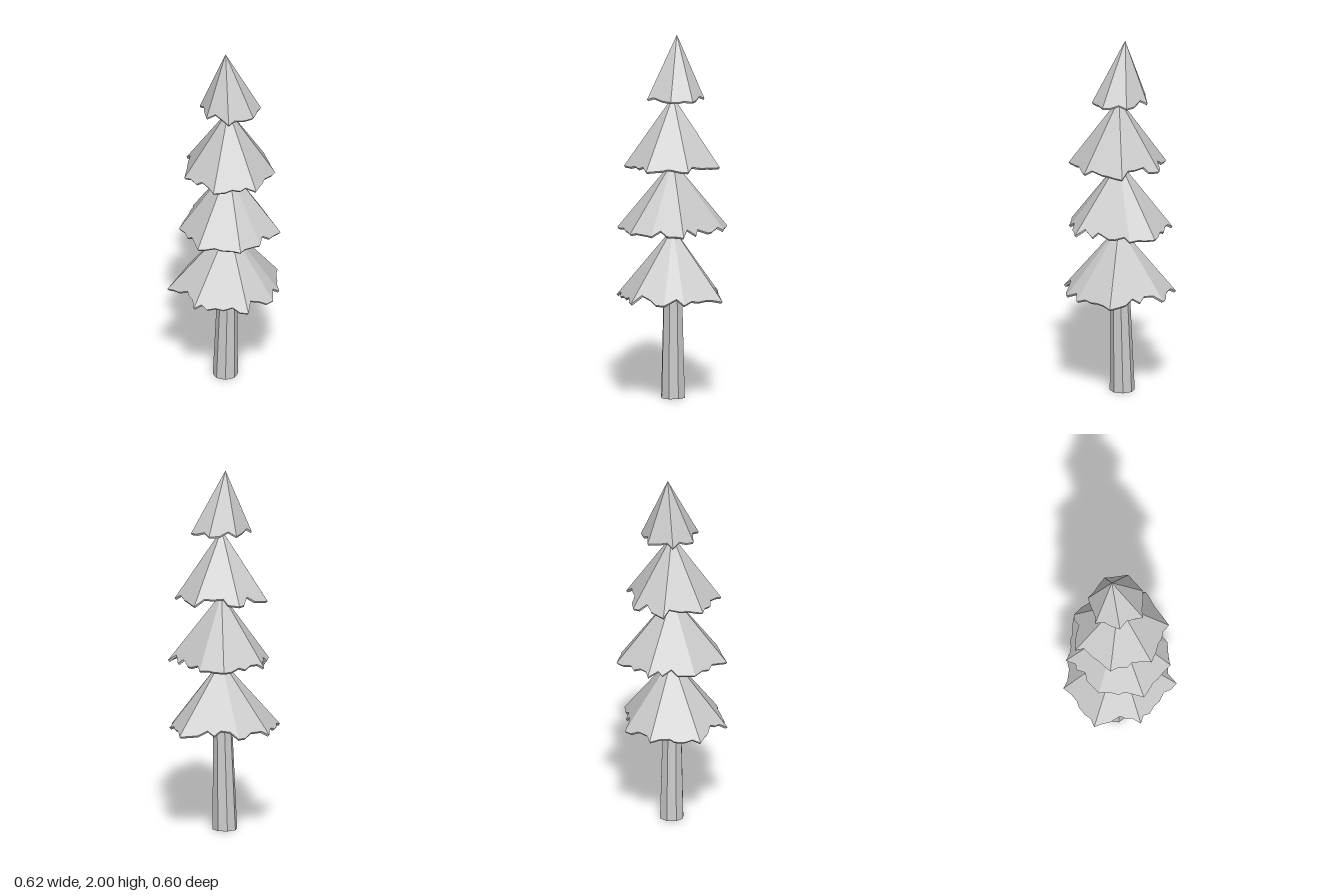
import * as THREE from 'three';

const material = () => new THREE.MeshStandardMaterial({ color: 0xcccccc, flatShading: true });

// Small seeded generator for the ragged rims
function seeded(seed) {
  let s = seed;
  return () => (s = (s * 16807) % 2147483647) / 2147483647;
}

// Each tier: tip, rim height and the ridge corners [x, z], clockwise from above
const TIERS = [
  { name: 'bottomBranches', tip: [0, 0.94, 0.01], rimY: 0.56, corners: [
    [0, -0.3], [0.18, -0.22], [0.31, 0.08], [0.15, 0.25],
    [0.05, 0.3], [-0.14, 0.3], [-0.31, 0.05], [-0.26, -0.2]] },
  { name: 'lowerMiddleBranches', tip: [0, 1.31, 0.01], rimY: 0.935, corners: [
    [0.02, -0.28], [0.25, -0.17], [0.28, -0.03], [0.15, 0.26],
    [-0.03, 0.28], [-0.16, 0.26], [-0.3, 0.07], [-0.21, -0.16]] },
  { name: 'upperMiddleBranches', tip: [0, 1.665, 0.01], rimY: 1.288, corners: [
    [-0.06, -0.25], [0.14, -0.2], [0.27, 0.01], [0.16, 0.21],
    [-0.06, 0.28], [-0.24, 0.13], [-0.23, -0.1]] },
  { name: 'topBranches', tip: [0.011, 2, -0.023], rimY: 1.66, corners: [
    [-0.07, -0.14], [0.08, -0.14], [0.17, -0.02], [0.15, 0.11],
    [0.04, 0.16], [-0.11, 0.12], [-0.14, -0.02]] },
];

// Thin pyramid shell whose flat facets are notched along the rim
function branchTier({ name, tip, rimY, corners }, index) {
  const random = seeded(4711 + 97 * index);
  const apex = new THREE.Vector3(...tip);
  const innerApex = apex.clone().setY(apex.y - 0.03);
  const ridge = corners.map(([x, z]) => new THREE.Vector3(x, rimY, z));

  // Walk each edge; points between the corners are drawn back up the facet
  const outer = [];
  ridge.forEach((corner, i) => {
    const next = ridge[(i + 1) % ridge.length];
    outer.push(corner);
    const steps = Math.max(2, Math.round(corner.distanceTo(next) / 0.045));
    for (let k = 1; k < steps; k++) {
      const along = (k + (random() - 0.5) * 0.7) / steps;
      const notch = 0.13 * random() * random();
      outer.push(corner.clone().lerp(next, along).lerp(apex, notch));
    }
  });
  const inner = outer.map(p => new THREE.Vector3(
    apex.x + (p.x - apex.x) * 0.97, p.y - 0.01, apex.z + (p.z - apex.z) * 0.97));

  const points = [];
  outer.forEach((p, i) => {
    const j = (i + 1) % outer.length;
    points.push(apex, outer[j], p);                  // upper face
    points.push(p, outer[j], inner[j]);              // ragged lip
    points.push(p, inner[j], inner[i]);
    points.push(innerApex, inner[i], inner[j]);      // underside
  });
  const geometry = new THREE.BufferGeometry().setFromPoints(points);
  geometry.computeVertexNormals();
  const mesh = new THREE.Mesh(geometry, material());
  mesh.name = name;
  return mesh;
}

// Eight-sided tapering trunk with a slight lean
function trunk() {
  const profile = [[0, 0], [0.068, 0], [0.054, 0.55], [0.039, 0.9], [0.027, 1.28], [0.016, 1.65], [0, 1.8]];
  const geometry = new THREE.LatheGeometry(profile.map(([r, y]) => new THREE.Vector2(r, y)), 8);
  const pos = geometry.attributes.position;
  for (let i = 0; i < pos.count; i++) {
    const k = Math.min(1, pos.getY(i) / 0.9);
    pos.setX(i, pos.getX(i) - 0.006 * (1 - k));
    pos.setZ(i, pos.getZ(i) - 0.008 + 0.02 * k);
  }
  geometry.computeVertexNormals();
  const mesh = new THREE.Mesh(geometry, material());
  mesh.name = 'trunk';
  return mesh;
}

export function createModel() {
  const tree = new THREE.Group();
  tree.name = 'pineTree';
  tree.add(trunk(), ...TIERS.map(branchTier));
  return tree;
}
